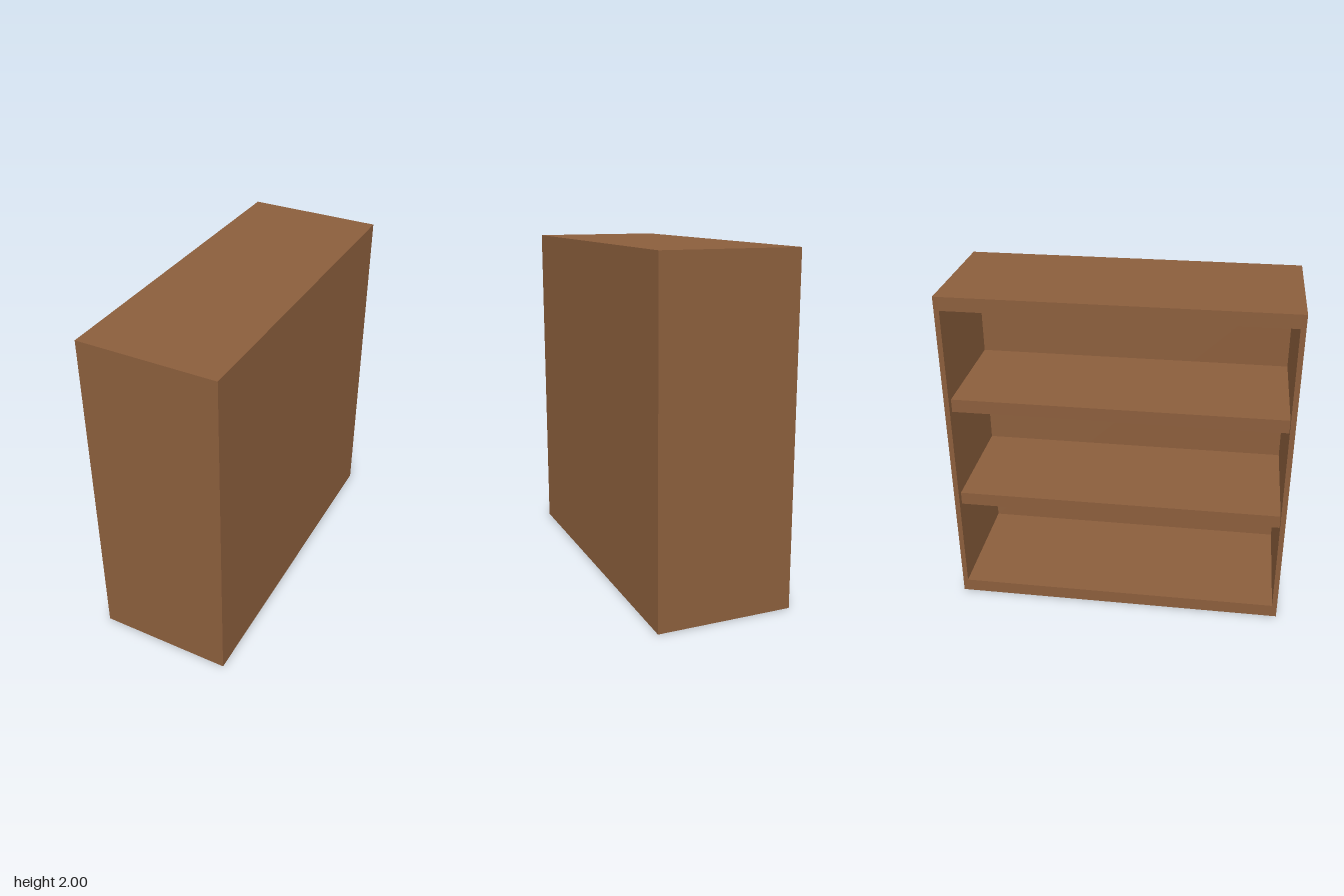
import * as THREE from 'three';

export function createModel() {
  const model = new THREE.Group();
  model.name = 'bookcase';
  const wood = new THREE.MeshStandardMaterial({ color: 0x8b5e3c });
  wood.name = 'brown wood';

  const W = 2, H = 2, D = 0.8;       // width along z, height, depth along x
  const side = 0.03, board = 0.08, back = 0.04, inset = 0.04;
  const innerW = W - 2 * side;

  const addBoard = (name, sx, sy, sz, x, y, z) => {
    const mesh = new THREE.Mesh(new THREE.BoxGeometry(sx, sy, sz), wood);
    mesh.name = name;
    mesh.position.set(x, y, z);
    model.add(mesh);
  };

  // Side walls
  for (const s of [-1, 1]) {
    addBoard(s > 0 ? 'frontSideWall' : 'backSideWall', D, H, side, 0, H / 2, s * (W - side) / 2);
  }

  // Top and bottom boards
  addBoard('bottomBoard', D, board, innerW, 0, board / 2, 0);
  addBoard('topBoard', D, board, innerW, 0, H - board / 2, 0);

  // Closed panel on +x; the shelves open toward -x
  addBoard('backPanel', back, H - 2 * board, innerW, (D - back) / 2, H / 2, 0);

  // Two shelves with equal gaps, set back slightly from the opening
  const shelfDepth = D - back - inset;
  const gap = (H - 4 * board) / 3;
  for (let i = 1; i <= 2; i++) {
    const y = board / 2 + i * (gap + board);
    addBoard('shelf' + i, shelfDepth, board, innerW, (inset - back) / 2, y, 0);
  }

  return model;
}
